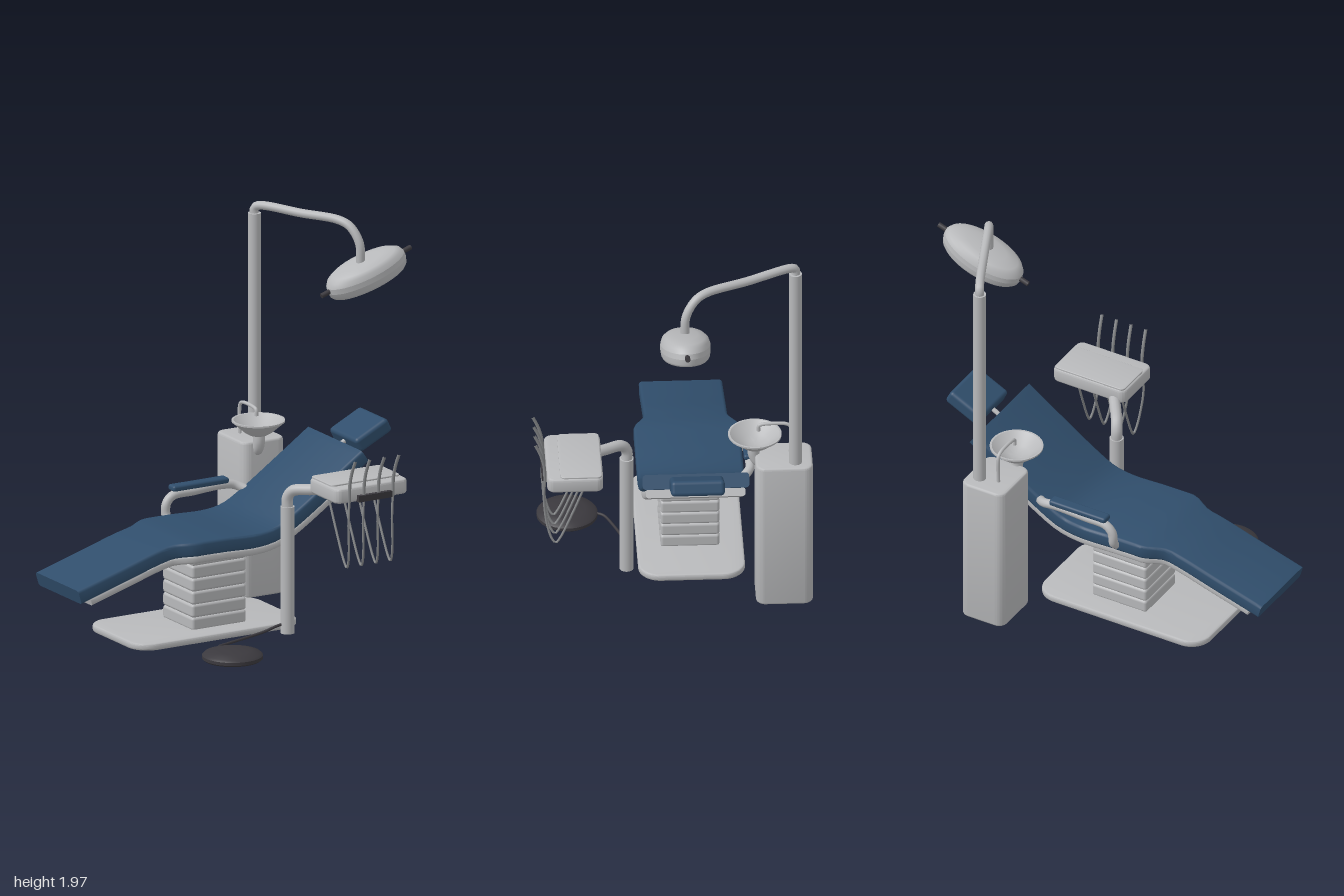
import * as THREE from 'three';
import { toCreasedNormals } from 'three/addons/utils/BufferGeometryUtils.js';
import { RoundedBoxGeometry } from 'three/addons/geometries/RoundedBoxGeometry.js';

const mat = (name, color) => {
  const m = new THREE.MeshStandardMaterial({ color });
  m.name = name;
  return m;
};
const V = (p) => new THREE.Vector3(...p);

// Horizontal slab with rounded corners and a small bevel, standing on y = 0
function slabGeometry(w, h, d, r, b) {
  const x = w / 2 - b, y = d / 2 - b;
  const s = new THREE.Shape();
  s.moveTo(-x + r, -y);
  s.lineTo(x - r, -y).absarc(x - r, -y + r, r, -Math.PI / 2, 0);
  s.lineTo(x, y - r).absarc(x - r, y - r, r, 0, Math.PI / 2);
  s.lineTo(-x + r, y).absarc(-x + r, y - r, r, Math.PI / 2, Math.PI);
  s.lineTo(-x, -y + r).absarc(-x + r, -y + r, r, Math.PI, Math.PI * 1.5);
  const g = new THREE.ExtrudeGeometry(s, {
    depth: h - 2 * b, bevelThickness: b, bevelSize: b, bevelSegments: 3, curveSegments: 8,
  });
  g.rotateX(-Math.PI / 2).translate(0, b, 0);
  return toCreasedNormals(g, 0.7);
}

// Pad following a side profile: rounded cross-sections between two depths below the curve
function padGeometry(curve, u0, u1, top, bottom, halfWidth, r) {
  const section = [];
  const steps = 48, pos = [], idx = [];
  const h = (bottom - top) / 2, mid = (bottom + top) / 2;
  for (const [sz, sn, a0] of [[1, 1, 0], [-1, 1, 1], [-1, -1, 2], [1, -1, 3]]) {
    for (let k = 0; k < 4; k++) {
      const a = (a0 + k / 3) * Math.PI / 2;
      section.push([sz, sn * (h - r) + r * Math.sin(a), r * Math.cos(a)]);
    }
  }
  const n = section.length;
  for (let i = 0; i <= steps; i++) {
    const u = u0 + (u1 - u0) * i / steps;
    const p = curve.getPointAt(u), t = curve.getTangentAt(u);
    const w = halfWidth(p.x) - r;
    for (const [sz, sn, dz] of section) {
      const o = sn - mid;
      pos.push(p.x - t.y * o, p.y + t.x * o, sz * w + dz);
    }
  }
  for (let i = 0; i < steps; i++) {
    for (let j = 0; j < n; j++) {
      const a = i * n + j, b = i * n + (j + 1) % n;
      idx.push(a, a + n, b, b, a + n, b + n);
    }
  }
  const last = steps * n;
  for (let j = 1; j < n - 1; j++) {
    idx.push(0, j, j + 1, last, last + j + 1, last + j);
  }
  // Section runs from +z up to -z, so flip every face outward
  for (let k = 0; k < idx.length; k += 3) [idx[k + 1], idx[k + 2]] = [idx[k + 2], idx[k + 1]];
  const g = new THREE.BufferGeometry();
  g.setAttribute('position', new THREE.Float32BufferAttribute(pos, 3));
  g.setIndex(idx);
  // Check orientation by signed volume and correct if needed
  let vol = 0;
  const at = (i) => new THREE.Vector3(pos[i * 3], pos[i * 3 + 1], pos[i * 3 + 2]);
  for (let k = 0; k < idx.length; k += 3) vol += at(idx[k]).dot(at(idx[k + 1]).cross(at(idx[k + 2])));
  if (vol < 0) g.setIndex(idx.reverse());
  return toCreasedNormals(g, 0.6);
}

export function createModel() {
  const model = new THREE.Group();
  model.name = 'dentalUnit';
  const blue = mat('navy upholstery', 0x304e6c);
  const pale = mat('pale grey enamel', 0xb8b9bb);
  const steel = mat('hose grey', 0x86888a);
  const dark = mat('charcoal rubber', 0x3b393e);

  const add = (name, geo, material, pos = [0, 0, 0], parent = model) => {
    const m = new THREE.Mesh(geo, material);
    m.name = name;
    m.position.set(...pos);
    parent.add(m);
    return m;
  };
  const tube = (name, pts, r, material, seg = 40) => add(name, new THREE.TubeGeometry(
    new THREE.CatmullRomCurve3(pts.map(V), false, 'centripetal'), seg, r, 12), material);
  const lathe = (pts, seg = 40) => toCreasedNormals(
    new THREE.LatheGeometry(pts.map((p) => new THREE.Vector2(...p)), seg), 0.6);
  const CZ = -0.103; // chair centre line

  // Chair base and ribbed pedestal
  add('chairBase', slabGeometry(0.945, 0.035, 0.525, 0.1, 0.01), pale, [-0.212, 0, CZ]);
  for (let i = 0; i < 6; i++) {
    add('pedestalRib', new RoundedBoxGeometry(0.31, 0.068, 0.29, 3, 0.015), pale,
      [-0.155, 0.062 + i * 0.066, CZ]);
  }

  // Upholstered couch and the shell beneath it
  const profile = new THREE.CatmullRomCurve3([
    [-1, 0.348, 0], [-0.75, 0.422, 0], [-0.52, 0.49, 0], [-0.39, 0.512, 0], [-0.2, 0.514, 0],
    [0, 0.51, 0], [0.1, 0.528, 0], [0.2, 0.582, 0], [0.4, 0.715, 0], [0.59, 0.845, 0],
  ].map(V), false, 'centripetal');
  const width = (x) => 0.205 + 0.057 * THREE.MathUtils.smoothstep(x, -0.48, -0.34);
  add('couchCushion', padGeometry(profile, 0, 1, 0, 0.073, width, 0.015), blue, [0, 0, CZ]);
  add('couchShell', padGeometry(profile, 0.036, 0.958, 0.072, 0.113,
    (x) => width(x) - 0.017, 0.012), pale, [0, 0, CZ]);

  // Headrest on a short bar
  const head = add('headrest', new RoundedBoxGeometry(0.205, 0.077, 0.265, 4, 0.02), blue, [0.739, 0.87, CZ]);
  head.rotation.z = 0.46;
  tube('headrestBar', [[0.56, 0.765, CZ], [0.62, 0.81, CZ], [0.7, 0.85, CZ]], 0.012, pale);

  // Single armrest on the far side
  tube('armrestBar', [[-0.2, 0.46, -0.34], [-0.205, 0.5, -0.385], [-0.2, 0.56, -0.39], [-0.165, 0.595, -0.39],
    [-0.05, 0.602, -0.39], [0.12, 0.61, -0.39], [0.19, 0.6, -0.385], [0.24, 0.575, -0.34]], 0.023, pale);
  add('armrestPad', new RoundedBoxGeometry(0.32, 0.03, 0.06, 3, 0.012), blue, [-0.015, 0.634, -0.39]);

  // Cabinet, rinse bowl and tap
  add('cabinet', slabGeometry(0.245, 0.795, 0.28, 0.035, 0.012), pale, [0.373, 0, -0.545]);
  add('rinseBowl', lathe([[0, 0.83], [0.045, 0.83], [0.07, 0.845], [0.132, 0.898], [0.132, 0.906],
    [0.122, 0.906], [0.065, 0.858], [0.03, 0.845], [0, 0.843]]), pale, [0.335, 0, -0.405]);
  tube('bowlStem', [[0.335, 0.84, -0.4], [0.335, 0.79, -0.4], [0.335, 0.75, -0.42], [0.335, 0.74, -0.47]], 0.03, pale);
  tube('tap', [[0.335, 0.78, -0.58], [0.335, 0.94, -0.58], [0.335, 0.957, -0.56],
    [0.335, 0.957, -0.44], [0.335, 0.95, -0.425], [0.335, 0.92, -0.423]], 0.009, pale);

  // Lamp pole and arm
  add('lampPole', new THREE.CylinderGeometry(0.032, 0.032, 1.12, 24), pale, [0.43, 1.34, -0.6]);
  tube('lampArm', [[0.43, 1.88, -0.6], [0.43, 1.925, -0.6], [0.442, 1.94, -0.58], [0.55, 1.94, -0.355],
    [0.645, 1.94, -0.15], [0.675, 1.915, -0.095], [0.7, 1.84, -0.05], [0.705, 1.73, -0.045]], 0.022, pale, 60);

  // Oval lamp head with two grips
  const lamp = new THREE.Group();
  lamp.name = 'lampHead';
  lamp.position.set(0.735, 1.69, -0.045);
  lamp.rotation.z = 0.33;
  model.add(lamp);
  const shade = lathe([[0, -0.052], [0.92, -0.052], [0.97, -0.04], [1, -0.012], [0.99, 0.015],
    [0.93, 0.037], [0.8, 0.052], [0.5, 0.062], [0, 0.066]], 56);
  shade.scale(0.225, 1, 0.124);
  add('lampShade', shade, pale, [0, 0, 0], lamp);
  for (const s of [-1, 1]) {
    const grip = new THREE.CylinderGeometry(0.013, 0.013, 0.06, 14).rotateZ(Math.PI / 2);
    add('lampGrip', grip, dark, [s * 0.24, 0, 0], lamp);
  }

  // Instrument tray on its post
  add('trayPost', new THREE.CylinderGeometry(0.035, 0.035, 0.645, 24), pale, [0.13, 0.3225, 0.215]);
  tube('trayArm', [[0.13, 0.62, 0.215], [0.13, 0.69, 0.215], [0.145, 0.728, 0.24],
    [0.2, 0.745, 0.32], [0.25, 0.755, 0.39], [0.32, 0.765, 0.46]], 0.028, pale);
  add('tray', slabGeometry(0.415, 0.075, 0.275, 0.025, 0.012), pale, [0.373, 0.745, 0.487]);
  add('trayMat', slabGeometry(0.395, 0.012, 0.205, 0.02, 0.003), pale, [0.373, 0.816, 0.458]);
  add('instrumentHolder', new THREE.BoxGeometry(0.19, 0.032, 0.03), dark, [0.375, 0.763, 0.632]);

  // Four hand instruments with hanging hoses
  for (let i = 0; i < 4; i++) {
    const x = 0.233 + i * 0.083;
    tube('handInstrument', [[x, 0.75, 0.632], [x, 0.84, 0.637], [x + 0.002, 0.91, 0.655], [x + 0.006, 0.972, 0.682]],
      0.008, steel, 16);
    tube('instrumentHose', [[x, 0.76, 0.632], [x - 0.008, 0.64, 0.637], [x + 0.004, 0.5, 0.622],
      [x + 0.013, 0.42, 0.597], [x + 0.016, 0.402, 0.58], [x + 0.014, 0.43, 0.558],
      [x + 0.008, 0.56, 0.5], [x, 0.75, 0.425]], 0.006, steel, 48);
  }

  // Foot pedal and cable
  add('footPedal', lathe([[0, 0], [0.14, 0], [0.15, 0.008], [0.15, 0.024], [0.14, 0.034],
    [0.09, 0.048], [0, 0.054]]), dark, [-0.347, 0, 0.485]);
  tube('pedalCable', [[-0.34, 0.02, 0.36], [-0.32, 0.018, 0.31], [-0.24, 0.012, 0.265], [-0.1, 0.01, 0.215],
    [0.0, 0.02, 0.203], [0.08, 0.042, 0.208], [0.13, 0.05, 0.215]], 0.007, dark);

  return model;
}
